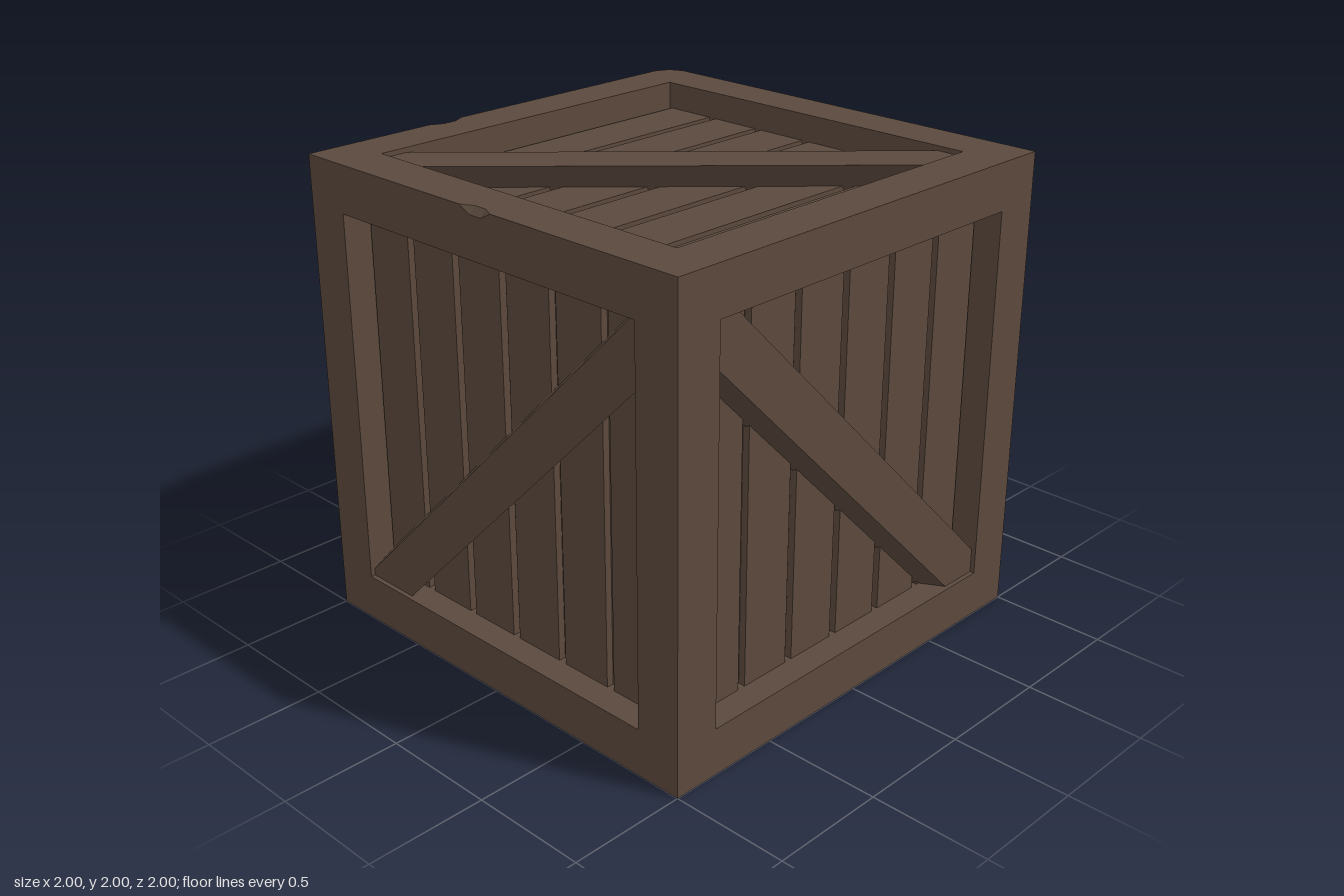
import * as THREE from 'three';
import { ConvexGeometry } from 'three/addons/geometries/ConvexGeometry.js';

const wood = new THREE.MeshStandardMaterial({ color: 0x5b493d });
wood.name = 'dark wood';

function add(parent, geometry, name, x = 0, y = 0, z = 0) {
  const mesh = new THREE.Mesh(geometry, wood);
  mesh.name = name;
  mesh.position.set(x, y, z);
  parent.add(mesh);
  return mesh;
}

// Top beam along x whose outer edge is chipped around `centre`
function chippedBeam(centre) {
  const stations = [[-0.8, 0], [centre - 0.085, 0], [centre - 0.03, 0.027],
    [centre + 0.03, 0.027], [centre + 0.085, 0], [0.8, 0]];
  const rings = stations.map(([x, c]) =>
    [[0.8, 0.8], [1, 0.8], [1, 1 - c], [1 - c, 1], [0.8, 1]].map(([y, z]) => new THREE.Vector3(x, y, z)));
  const points = [];
  for (let i = 0; i < rings.length - 1; i++) {
    const a = rings[i], b = rings[i + 1];
    for (let j = 0; j < 5; j++) {
      const k = (j + 1) % 5;
      points.push(a[j], a[k], b[k], a[j], b[k], b[j]);
    }
  }
  const geometry = new THREE.BufferGeometry().setFromPoints(points);
  geometry.computeVertexNormals();
  return geometry;
}

// Corner block with its outermost corner worn away
function wornCorner() {
  const points = [];
  for (const x of [-1, -0.8]) for (const y of [1, 0.8]) for (const z of [-1, -0.8]) {
    if (x !== -1 || y !== 1 || z !== -1) points.push(new THREE.Vector3(x, y, z));
  }
  const far = 0.91, mid = 0.972;
  for (const [x, y, z] of [[far, 1, 1], [1, far, 1], [1, 1, far], [mid, 1, mid], [mid, mid, 1], [1, mid, mid]]) {
    points.push(new THREE.Vector3(-x, y, -z));
  }
  return new ConvexGeometry(points);
}

// Leaning diagonal board: its inner side is shifted by `lean` across the board
function braceGeometry(width, lean) {
  const geometry = new THREE.BoxGeometry(2.36, width, 0.115).toNonIndexed();
  const p = geometry.attributes.position;
  for (let i = 0; i < p.count; i++) if (p.getZ(i) < 0) p.setY(i, p.getY(i) + lean);
  geometry.computeVertexNormals();
  return geometry;
}

// Recessed side: six planks and a diagonal brace, facing local +z
function panel(name, angle, offset, lean) {
  const group = new THREE.Group();
  group.name = name;
  for (let i = 0; i < 6; i++) {
    add(group, new THREE.BoxGeometry(0.232, 1.64, 0.045), 'plank', (i - 2.5) * 0.268, 0, 0.8625);
  }
  const brace = add(group, braceGeometry(0.2, lean), 'diagonalBrace',
    -Math.sin(angle) * offset, Math.cos(angle) * offset, 0.9225);
  brace.rotation.z = angle;
  return group;
}

export function createModel() {
  const model = new THREE.Group();
  model.name = 'woodenCrate';
  const crate = new THREE.Group();
  crate.name = 'crate';
  crate.position.y = 1;
  model.add(crate);

  // Solid core behind the planks
  add(crate, new THREE.BoxGeometry(1.71, 1.71, 1.71), 'core');

  // Corner blocks
  for (const x of [-0.9, 0.9]) for (const y of [-0.9, 0.9]) for (const z of [-0.9, 0.9]) {
    if (x < 0 && y > 0 && z < 0) add(crate, wornCorner(), 'wornCorner');
    else add(crate, new THREE.BoxGeometry(0.2, 0.2, 0.2), 'cornerBlock', x, y, z);
  }

  // Frame beams; the top front and top side beams carry chips
  for (const a of [-0.9, 0.9]) for (const b of [-0.9, 0.9]) {
    add(crate, new THREE.BoxGeometry(0.2, 1.6, 0.2), 'uprightBeam', a, 0, b);
    if (a > 0 && b > 0) add(crate, chippedBeam(0), 'chippedFrontBeam');
    else add(crate, new THREE.BoxGeometry(1.6, 0.2, 0.2), 'crossBeam', 0, a, b);
    if (a < 0 && b > 0) add(crate, chippedBeam(0.32), 'chippedSideBeam').rotation.y = -Math.PI / 2;
    else add(crate, new THREE.BoxGeometry(0.2, 0.2, 1.6), 'sideBeam', a, b, 0);
  }

  // Panels, each given by its right and up directions and whether the brace rises or falls
  const sides = [
    ['frontPanel', [1, 0, 0], [0, 1, 0], 'rise', -0.078],
    ['backPanel', [-1, 0, 0], [0, 1, 0], 'rise', -0.078],
    ['rightPanel', [0, 0, -1], [0, 1, 0], 'fall', -0.025],
    ['leftPanel', [0, 0, 1], [0, 1, 0], 'fall', -0.025],
    ['topPanel', [1, 0, 0], [0, 0, -1], 'rise', -0.014],
    ['bottomPanel', [0, 0, -1], [1, 0, 0], 'fall', -0.025],
  ];
  for (const [name, right, up, slope, offset] of sides) {
    const sign = slope === 'rise' ? 1 : -1;
    const side = panel(name, sign * Math.PI / 4, offset, sign * 0.046);
    const u = new THREE.Vector3(...right), v = new THREE.Vector3(...up);
    const n = new THREE.Vector3().crossVectors(u, v);
    side.quaternion.setFromRotationMatrix(new THREE.Matrix4().makeBasis(u, v, n));
    crate.add(side);
  }
  return model;
}
